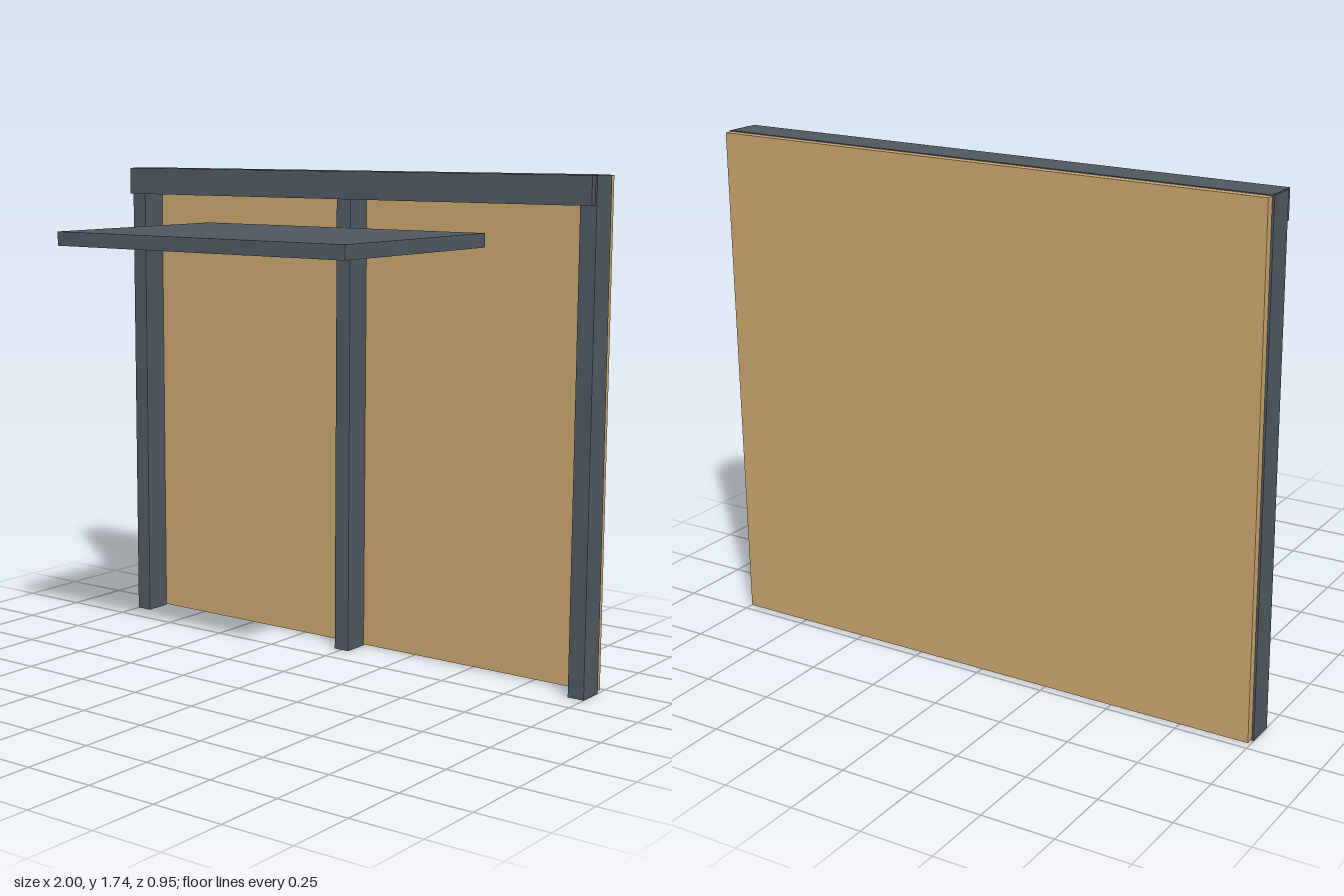
import * as THREE from 'three';

export function createModel() {
  const model = new THREE.Group();
  const steel = new THREE.MeshStandardMaterial({ color: 0x4f585f });
  steel.name = 'slate grey';
  const wood = new THREE.MeshStandardMaterial({ color: 0xc8a36c });
  wood.name = 'tan wood';

  // Box given by its min and max on each axis
  function box(name, material, [x0, x1], [y0, y1], [z0, z1]) {
    const mesh = new THREE.Mesh(new THREE.BoxGeometry(x1 - x0, y1 - y0, z1 - z0), material);
    mesh.position.set((x0 + x1) / 2, (y0 + y1) / 2, (z0 + z1) / 2);
    mesh.name = name;
    model.add(mesh);
  }

  // Back panel
  box('backPanel', wood, [-0.993, 0.993], [0.004, 1.74], [-0.475, -0.447]);

  // Three upright posts
  const posts = { rightPost: -0.97, centrePost: 0, leftPost: 0.97 };
  for (const [name, x] of Object.entries(posts)) {
    box(name, steel, [x - 0.03, x + 0.03], [0, 1.742], [-0.447, -0.348]);
  }

  // Top beam, overhanging the posts at the front
  box('topBeam', steel, [-0.994, 0.994], [1.645, 1.743], [-0.447, -0.325]);

  // Flat canopy in front of the frame
  box('canopy', steel, [-0.6, 0.6], [1.498, 1.546], [-0.322, 0.475]);

  return model;
}
